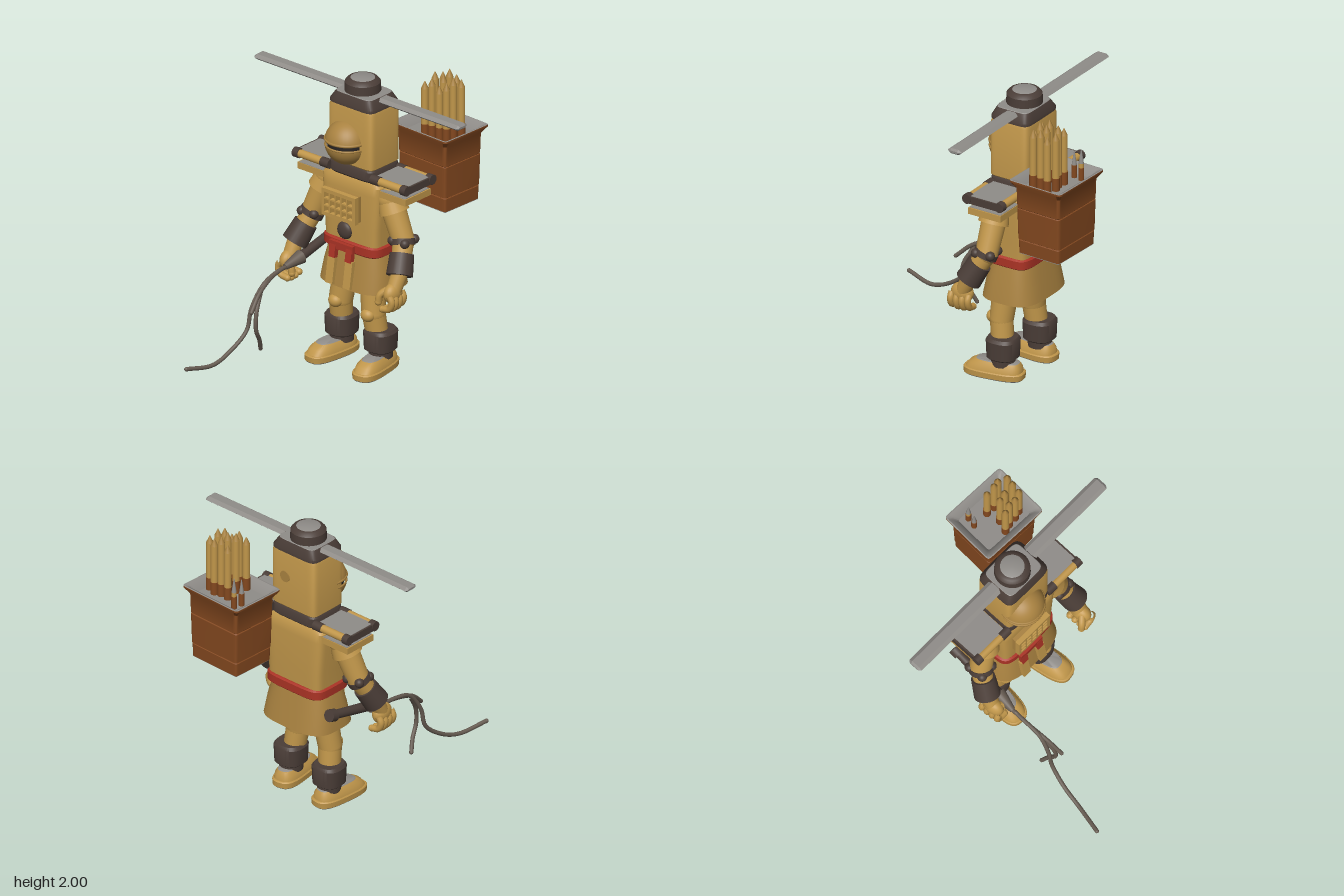
import * as THREE from 'three';
import { toCreasedNormals } from 'three/addons/utils/BufferGeometryUtils.js';

const mat = (name, color, side = THREE.FrontSide) => {
  const m = new THREE.MeshStandardMaterial({ color, side });
  m.name = name;
  return m;
};
const V = (a) => new THREE.Vector3(...a);

export function createModel() {
  const root = new THREE.Group();
  root.name = 'figure';
  const tan = mat('tan', 0xc0964a);
  const ochre = mat('ochre', 0xa98240);
  const dark = mat('dark brown', 0x4a3d37);
  const grey = mat('grey', 0x8f8c88);
  const red = mat('red', 0xab3325);
  const wood = mat('red brown', 0x83481f);
  const cord = mat('cord grey brown', 0x665b51);
  const black = mat('black', 0x2b2624);

  const add = (parent, name, geo, m, pos = [0, 0, 0], rot = [0, 0, 0]) => {
    const mesh = new THREE.Mesh(geo, m);
    mesh.name = name;
    mesh.position.set(...pos);
    mesh.rotation.set(...rot);
    parent.add(mesh);
    return mesh;
  };
  const box = (p, name, m, size, pos, rot) => add(p, name, new THREE.BoxGeometry(...size), m, pos, rot);
  const ball = (p, name, m, r, pos, scale = [1, 1, 1]) =>
    add(p, name, new THREE.SphereGeometry(r, 24, 16), m, pos).scale.set(...scale);

  // Stacked superellipse rings [y, width, depth, zOffset]; high n is boxier
  const loft = (rings, n = 5, capBottom = true, capTop = true) => {
    const seg = 40, pos = [], idx = [];
    const pw = (v) => Math.sign(v) * Math.pow(Math.abs(v), 2 / n);
    for (const [y, w, d, oz = 0] of rings)
      for (let j = 0; j < seg; j++) {
        const t = (j / seg) * Math.PI * 2;
        pos.push((w / 2) * pw(Math.cos(t)), y, oz + (d / 2) * pw(Math.sin(t)));
      }
    const last = rings.length - 1, cb = rings.length * seg;
    pos.push(0, rings[0][0], rings[0][3] || 0, 0, rings[last][0], rings[last][3] || 0);
    for (let j = 0; j < seg; j++) {
      const k = (j + 1) % seg;
      for (let i = 0; i < last; i++) {
        const a = i * seg + j, b = i * seg + k;
        idx.push(a, a + seg, b, b, a + seg, b + seg);
      }
      if (capBottom) idx.push(cb, j, k);
      if (capTop) idx.push(cb + 1, last * seg + k, last * seg + j);
    }
    const g = new THREE.BufferGeometry();
    g.setAttribute('position', new THREE.Float32BufferAttribute(pos, 3));
    g.setIndex(idx);
    return toCreasedNormals(g, 0.65);
  };
  // Tapered cylinder between two points
  const limb = (p, name, m, a, b, ra, rb = ra) => {
    const A = V(a), B = V(b), dir = B.clone().sub(A);
    const mesh = add(p, name, new THREE.CylinderGeometry(rb, ra, dir.length(), 24), m);
    mesh.position.copy(A).add(B).multiplyScalar(0.5);
    mesh.quaternion.setFromUnitVectors(new THREE.Vector3(0, 1, 0), dir.normalize());
    return mesh;
  };
  const tube = (p, name, m, pts, r, steps = 24) =>
    add(p, name, new THREE.TubeGeometry(new THREE.CatmullRomCurve3(pts.map(V)), steps, r, 10), m);

  // Torso, skirt and belt
  const body = new THREE.Group();
  body.name = 'body';
  body.position.set(0.035, 0, -0.26);
  body.rotation.y = -0.08;
  root.add(body);
  add(body, 'torso', loft([[0.84, 0.45, 0.3], [1, 0.46, 0.31], [1.25, 0.5, 0.31], [1.31, 0.5, 0.3], [1.335, 0.46, 0.27]], 7), tan);
  add(body, 'skirt', loft([[0.57, 0.56, 0.42], [0.7, 0.52, 0.37], [0.84, 0.45, 0.31]], 3.2), ochre);
  add(body, 'belt', loft([[0.815, 0.46, 0.32], [0.825, 0.485, 0.34], [0.88, 0.485, 0.34], [0.89, 0.46, 0.32]], 5), red);
  box(body, 'beltKnot', red, [0.2, 0.05, 0.05], [-0.03, 0.85, 0.17]);
  for (const s of [-1, 1]) {
    box(body, 'beltTie', red, [0.05, 0.09, 0.035], [-0.03 + s * 0.07, 0.805, 0.185], [-0.15, 0, 0]);
    box(body, 'tieEnd', tan, [0.06, 0.19, 0.03], [-0.03 + s * 0.075, 0.675, 0.2], [-0.15, 0, 0]);
  }
  ball(body, 'navelKnob', dark, 0.06, [-0.03, 0.955, 0.155], [1, 1, 0.5]);

  // Chest grille
  box(body, 'grilleBack', ochre, [0.28, 0.18, 0.04], [-0.03, 1.145, 0.17]);
  const frame = new THREE.Shape();
  const rect = (path, x, y, w, h) =>
    path.moveTo(x, y).lineTo(x + w, y).lineTo(x + w, y + h).lineTo(x, y + h).closePath();
  rect(frame, -0.145, -0.095, 0.29, 0.19);
  for (let i = 0; i < 5; i++)
    for (let j = 0; j < 3; j++) {
      const hole = new THREE.Path();
      rect(hole, -0.122 + i * 0.05, -0.07 + j * 0.05, 0.04, 0.04);
      frame.holes.push(hole);
    }
  add(body, 'grille', new THREE.ExtrudeGeometry(frame, { depth: 0.035, bevelEnabled: false }), tan, [-0.03, 1.145, 0.185]);

  // Shoulder planks
  for (const s of [-1, 1]) {
    box(body, 'upperShoulderPlank', tan, [0.27, 0.045, 0.24], [s * 0.335, 1.365, 0]);
    box(body, 'plankTop', grey, [0.265, 0.006, 0.24], [s * 0.335, 1.39, 0]);
    for (const z of [-0.125, 0.125]) {
      limb(body, 'plankRoll', tan, [s * 0.2, 1.37, z], [s * 0.46, 1.37, z], 0.027);
      limb(body, 'plankRollEnd', dark, [s * 0.44, 1.37, z], [s * 0.485, 1.37, z], 0.034);
      limb(body, 'plankRollInnerEnd', dark, [s * 0.18, 1.37, z], [s * 0.25, 1.37, z], 0.032);
    }
    box(body, 'plankEnd', dark, [0.03, 0.05, 0.24], [s * 0.465, 1.365, 0]);
    box(body, 'lowerShoulderPlank', tan, [0.26, 0.045, 0.25], [s * 0.335, 1.28, 0]);
    box(body, 'lowerPlankTop', grey, [0.24, 0.005, 0.24], [s * 0.335, 1.303, 0]);
    box(body, 'plankSpacer', ochre, [0.16, 0.05, 0.14], [s * 0.32, 1.325, 0]);
  }

  // Head with bulging face
  add(body, 'collar', loft([[1.33, 0.34, 0.26], [1.35, 0.38, 0.3], [1.41, 0.38, 0.3], [1.425, 0.36, 0.28]], 7), dark);
  add(body, 'head', loft([[1.415, 0.35, 0.27], [1.43, 0.38, 0.295], [1.81, 0.38, 0.295], [1.835, 0.36, 0.28]], 9), tan);
  const face = new THREE.Group();
  face.name = 'face';
  face.position.set(-0.04, 1.57, 0.115);
  body.add(face);
  const lid = (name, a, b) => add(face, name, new THREE.SphereGeometry(0.152, 36, 18, 0, Math.PI * 2, a, b - a), ochre);
  lid('upperFace', 0, 1.42);
  lid('lowerFace', 1.66, Math.PI);
  ball(face, 'mouth', black, 0.134, [0, 0, 0]);
  add(face, 'upperLip', new THREE.TorusGeometry(0.146, 0.01, 8, 40), ochre, [0, 0.024, 0], [Math.PI / 2, 0, 0]);
  add(face, 'lowerLip', new THREE.TorusGeometry(0.146, 0.007, 8, 40), ochre, [0, -0.016, 0], [Math.PI / 2, 0, 0]);
  add(body, 'backSpot', new THREE.CylinderGeometry(0.04, 0.04, 0.008, 20), ochre, [0.06, 1.65, -0.149], [Math.PI / 2, 0, 0]);

  // Hat and long blade
  add(body, 'hatBand', loft([[1.83, 0.38, 0.3], [1.85, 0.38, 0.3], [1.905, 0.31, 0.25]], 7), dark);
  add(body, 'hatBandTop', loft([[1.904, 0.31, 0.25], [1.909, 0.3, 0.24]], 7), grey);
  add(body, 'hatCrown', loft([[1.9, 0.24, 0.24], [1.97, 0.235, 0.235], [1.99, 0.2, 0.2], [1.996, 0.16, 0.16]], 2), dark, [-0.01, 0, 0]);
  add(body, 'hatCrownTop', loft([[1.994, 0.17, 0.17], [2, 0.14, 0.14]], 2), grey, [-0.01, 0, 0]);
  const bladeShape = new THREE.Shape();
  bladeShape.moveTo(-0.055, 0).lineTo(-0.03, -0.02).lineTo(0.03, -0.02).lineTo(0.055, 0).lineTo(0.03, 0.018).lineTo(-0.03, 0.018).closePath();
  add(body, 'blade', new THREE.ExtrudeGeometry(bladeShape, { depth: 1.73, bevelEnabled: true, bevelThickness: 0.015, bevelSize: 0.012, bevelOffset: -0.012, bevelSegments: 1 }),
    grey, [-0.905, 1.885, -0.01], [0, Math.PI / 2, 0]);

  // Arms
  const arms = [
    { s: 1, sh: [0.29, 1.23, -0.2], el: [0.405, 0.96, -0.19], wr: [0.45, 0.78, -0.09], hand: [0.44, 0.66, -0.03] },
    { s: -1, sh: [-0.25, 1.23, -0.26], el: [-0.35, 0.96, -0.22], wr: [-0.41, 0.78, -0.12], hand: [-0.42, 0.66, -0.06] },
  ];
  for (const { s, sh, el, wr, hand } of arms) {
    const arm = new THREE.Group();
    arm.name = s > 0 ? 'leftArm' : 'rightArm';
    root.add(arm);
    const mix = (a, b, t) => V(a).lerp(V(b), t).toArray();
    ball(arm, 'shoulder', tan, 0.09, sh);
    limb(arm, 'sleeve', tan, sh, mix(sh, el, 0.32), 0.085, 0.102);
    limb(arm, 'upperArm', tan, sh, el, 0.085, 0.075);
    ball(arm, 'elbow', tan, 0.075, el);
    limb(arm, 'elbowBand', dark, mix(sh, el, 0.95), mix(el, wr, 0.12), 0.082);
    for (let i = 0; i < 4; i++) {
      const a = i * Math.PI / 2 + Math.PI / 4;
      ball(arm, 'elbowKnob', dark, 0.032, [el[0] + Math.cos(a) * 0.07, el[1] + 0.01, el[2] + Math.sin(a) * 0.075]);
    }
    limb(arm, 'forearm', tan, el, wr, 0.07, 0.062);
    limb(arm, 'wristCuff', dark, mix(el, wr, 0.4), mix(el, wr, 1.08), 0.08, 0.088);
    limb(arm, 'wrist', tan, wr, hand, 0.055, 0.05);
    ball(arm, 'palm', tan, 0.07, hand, [0.75, 1, 1.15]);
    const at = (x, y, z) => [hand[0] + s * x, hand[1] + y, hand[2] + z];
    for (let f = 0; f < 4; f++) {
      const z = -0.06 + f * 0.042, up = Math.abs(f - 1.5) * 0.008;
      tube(arm, 'finger', tan, [at(0.02, 0, z), at(0.04, -0.05 + up, z), at(0.02, -0.1 + up, z), at(-0.035, -0.115 + up, z)], 0.023, 12);
      ball(arm, 'fingertip', tan, 0.023, at(-0.035, -0.115 + up, z));
    }
    tube(arm, 'thumb', tan, [at(-0.02, 0.03, 0.03), at(-0.06, -0.01, 0.06), at(-0.07, -0.06, 0.065)], 0.024, 10);
    ball(arm, 'thumbTip', tan, 0.024, at(-0.07, -0.06, 0.065));
  }

  // Legs and shoes
  const legs = [
    { s: 1, hip: [0.15, 0.64, -0.2], knee: [0.175, 0.4, -0.175], ank: [0.21, 0.1, -0.205], foot: [0.215, -0.145], turn: 0.08 },
    { s: -1, hip: [-0.1, 0.64, -0.26], knee: [-0.135, 0.4, -0.24], ank: [-0.155, 0.1, -0.275], foot: [-0.175, -0.195], turn: -0.17 },
  ];
  for (const { s, hip, knee, ank, foot, turn } of legs) {
    const leg = new THREE.Group();
    leg.name = s > 0 ? 'leftLeg' : 'rightLeg';
    root.add(leg);
    limb(leg, 'thigh', tan, hip, knee, 0.088, 0.08);
    ball(leg, 'knee', tan, 0.08, knee);
    ball(leg, 'kneePad', tan, 0.05, [knee[0], knee[1], knee[2] + 0.06], [1, 0.9, 0.9]);
    limb(leg, 'shin', tan, knee, ank, 0.078, 0.07);
    add(leg, 'ankleCuff', loft([[0.14, 0.18, 0.18], [0.15, 0.2, 0.205], [0.27, 0.21, 0.215], [0.29, 0.18, 0.19]], 2.6), dark, [ank[0], 0, ank[2]]);
    limb(leg, 'ankle', dark, [ank[0], 0.09, ank[2]], [ank[0], 0.16, ank[2]], 0.08);
    const shoe = new THREE.Group();
    shoe.name = 'shoe';
    shoe.position.set(foot[0], 0, foot[1]);
    shoe.rotation.y = turn;
    leg.add(shoe);
    add(shoe, 'solePlate', loft([[0, 0.17, 0.4], [0.008, 0.18, 0.41]], 3), grey);
    add(shoe, 'sole', loft([[0.008, 0.185, 0.415], [0.045, 0.19, 0.42], [0.052, 0.18, 0.405]], 3), tan);
    add(shoe, 'shoeUpper', loft([[0.05, 0.175, 0.39], [0.085, 0.16, 0.36, -0.01], [0.112, 0.12, 0.3, -0.025]], 3), tan);
    add(shoe, 'instep', loft([[0.111, 0.12, 0.3], [0.117, 0.11, 0.28]], 3), grey, [0, 0, -0.025]);
  }

  // Whip with three lashes
  limb(root, 'whipHandle', dark, [-0.31, 0.78, -0.46], [-0.345, 0.68, -0.03], 0.03, 0.034);
  limb(root, 'whipPommel', dark, [-0.308, 0.785, -0.475], [-0.313, 0.77, -0.425], 0.042);
  limb(root, 'whipSocket', cord, [-0.34, 0.69, -0.08], [-0.365, 0.66, 0.06], 0.048, 0.02);
  const lashes = [
    [[-0.36, 0.66, 0.02], [-0.37, 0.65, 0.15], [-0.375, 0.605, 0.29], [-0.395, 0.47, 0.385], [-0.405, 0.33, 0.42], [-0.44, 0.22, 0.55], [-0.47, 0.165, 0.7], [-0.535, 0.19, 0.9]],
    [[-0.365, 0.66, 0.08], [-0.37, 0.635, 0.2], [-0.36, 0.575, 0.34], [-0.345, 0.48, 0.45]],
    [[-0.375, 0.59, 0.3], [-0.35, 0.45, 0.39], [-0.345, 0.34, 0.4], [-0.355, 0.25, 0.35], [-0.375, 0.17, 0.31]],
  ];
  for (const pts of lashes) {
    tube(root, 'lash', cord, pts, 0.014, 40);
    ball(root, 'lashTip', cord, 0.014, pts[pts.length - 1]);
  }

  // Basket
  const basket = new THREE.Group();
  basket.name = 'basket';
  basket.position.set(0.34, 0, -0.67);
  basket.rotation.y = -0.12;
  root.add(basket);
  add(basket, 'basketBody', loft([[1.085, 0.4, 0.32], [1.175, 0.405, 0.325], [1.18, 0.395, 0.315], [1.185, 0.41, 0.33], [1.4, 0.42, 0.34],
    [1.405, 0.41, 0.33], [1.41, 0.42, 0.34], [1.55, 0.43, 0.345], [1.595, 0.495, 0.41], [1.608, 0.495, 0.41]], 24, true, false), wood);
  add(basket, 'basketInside', loft([[1.608, 0.495, 0.41], [1.61, 0.48, 0.395], [1.595, 0.43, 0.345], [1.55, 0.37, 0.29]], 24, false, true), grey);
  box(basket, 'basketBottom', grey, [0.39, 0.008, 0.31], [0, 1.082, 0]);

  // Arrows standing in the basket: [x, z, top]
  const arrows = [[0.31, -0.55, 1.94], [0.36, -0.56, 1.97], [0.42, -0.56, 1.93], [0.47, -0.57, 1.96], [0.34, -0.62, 1.99], [0.4, -0.63, 1.98],
    [0.48, -0.63, 1.98], [0.33, -0.72, 1.95], [0.39, -0.71, 1.99], [0.44, -0.72, 1.96], [0.5, -0.69, 1.95], [0.21, -0.73, 1.74], [0.225, -0.79, 1.77]];
  for (const [x, z, top] of arrows) {
    const short = top < 1.8, r = short ? 0.017 : 0.024, neck = top - (short ? 0.1 : 0.05);
    limb(root, 'arrowBase', wood, [x, 1.54, z], [x, 1.64, z], r + 0.002);
    limb(root, 'arrowShaft', tan, [x, 1.63, z], [x, neck, z], r);
    limb(root, 'arrowTip', short ? grey : ochre, [x, neck, z], [x, top, z], r, 0.002);
  }
  return root;
}
